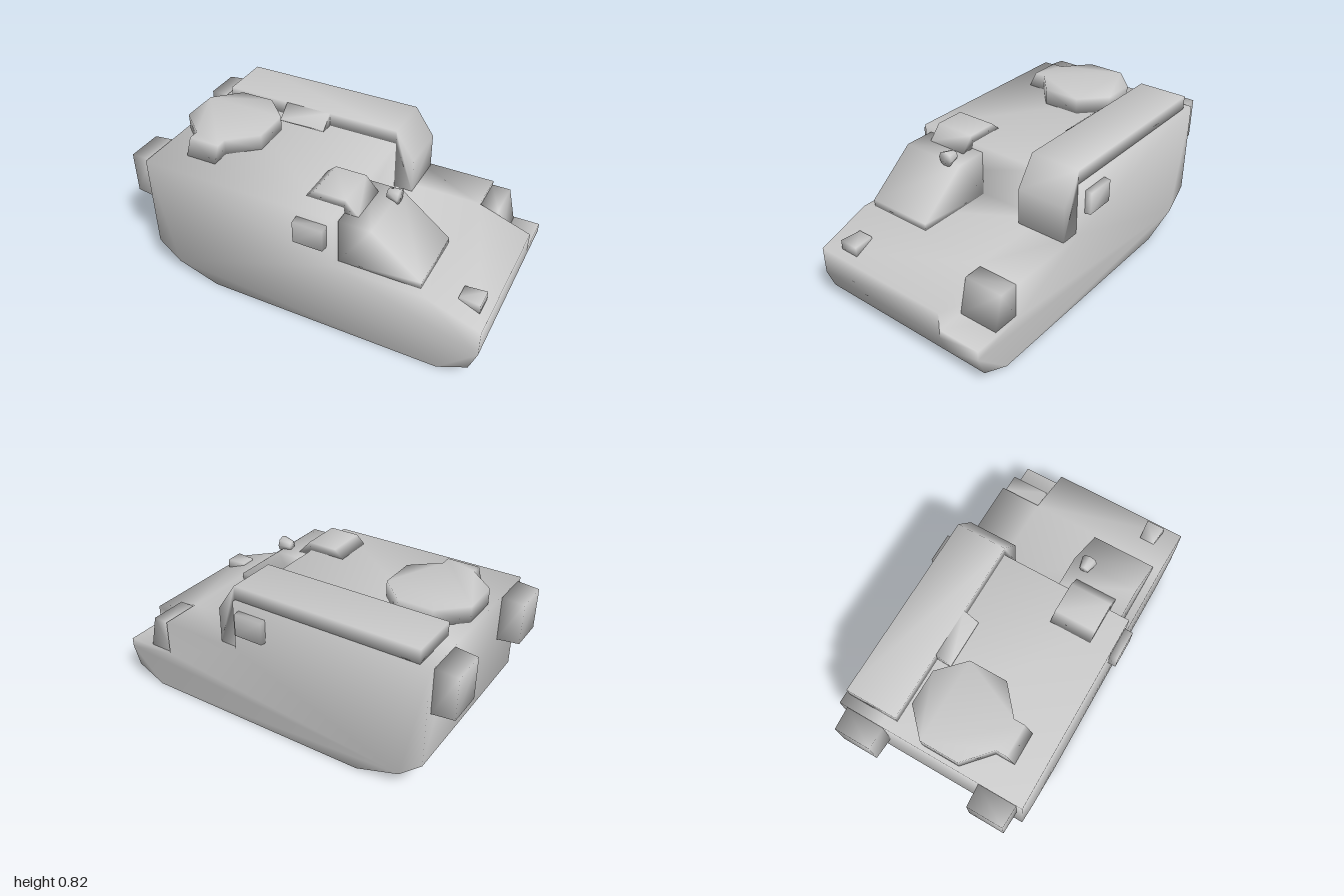
import * as THREE from 'three';
import { mergeVertices, mergeGeometries } from 'three/addons/utils/BufferGeometryUtils.js';

const material = new THREE.MeshStandardMaterial({ color: 0xcccccc, side: THREE.DoubleSide });

// Weld corners so that normals run smoothly over the edges
function smooth(geometry) {
  const g = geometry.clone();
  g.deleteAttribute('normal');
  g.deleteAttribute('uv');
  const welded = mergeVertices(g, 1e-4);
  welded.computeVertexNormals();
  return welded;
}

// Move every vertex by a rule
function bend(geometry, rule) {
  const p = geometry.attributes.position;
  const v = new THREE.Vector3();
  for (let i = 0; i < p.count; i++) {
    v.fromBufferAttribute(p, i);
    rule(v);
    p.setXYZ(i, v.x, v.y, v.z);
  }
  return geometry;
}

const outline = (points) => new THREE.Shape(points.map(([x, y]) => new THREE.Vector2(x, y)));

// Side profile (x, y) swept from z0 to z1
function prism(points, z0, z1) {
  return new THREE.ExtrudeGeometry(outline(points), { depth: z1 - z0, bevelEnabled: false }).translate(0, 0, z0);
}

// Box given by its limits
function block(x0, x1, y0, y1, z0, z1) {
  return new THREE.BoxGeometry(x1 - x0, y1 - y0, z1 - z0)
    .translate((x0 + x1) / 2, (y0 + y1) / 2, (z0 + z1) / 2);
}

// Remove triangles whose three corners all pass the test
function cut(geometry, test) {
  const g = geometry.index ? geometry.toNonIndexed() : geometry;
  const p = g.attributes.position;
  const kept = [];
  const v = new THREE.Vector3();
  for (let i = 0; i < p.count; i += 3) {
    const corners = [0, 1, 2].map((k) => v.fromBufferAttribute(p, i + k).clone());
    if (!corners.every(test)) corners.forEach((c) => kept.push(c));
  }
  return new THREE.BufferGeometry().setFromPoints(kept);
}

export function createModel() {
  const model = new THREE.Group();
  const add = (name, geometry) => {
    const mesh = new THREE.Mesh(smooth(geometry), material);
    mesh.name = name;
    model.add(mesh);
    return mesh;
  };

  // Hull: open underneath, with a notch in one front corner
  const notchZ = -0.29;
  const belly = [[-0.88, 0.73], [-0.88, 0.19], [-0.76, 0.08], [-0.52, 0], [0.8, 0], [0.96, 0.08], [1, 0.19]];
  const deck = [[0.705, 0.445], [0.22, 0.445], [0.22, 0.73]];
  const openFace = (v) => v.y < 0.001 || Math.abs(v.z - notchZ) < 0.001;
  const mainPart = cut(prism([...belly, [1, 0.34], ...deck], notchZ, 0.515), openFace);
  const notchedPart = cut(prism([...belly, [1, 0.24], [0.705, 0.24], ...deck], -0.525, notchZ), openFace);
  const notchWall = cut(
    new THREE.ShapeGeometry(outline([[0.705, 0.24], [1, 0.24], [1, 0.34], [0.705, 0.445]]))
      .rotateY(Math.PI).scale(-1, 1, 1).translate(0, 0, notchZ), () => false);
  // Turn the wall towards the notch
  const wallPos = notchWall.attributes.position;
  const corner = new THREE.Vector3();
  const wallPoints = [];
  for (let i = 0; i < wallPos.count; i += 3) {
    const t = [0, 1, 2].map((k) => corner.fromBufferAttribute(wallPos, i + k).clone());
    const facing = t[1].clone().sub(t[0]).cross(t[2].clone().sub(t[0])).z;
    wallPoints.push(...(facing > 0 ? [t[0], t[2], t[1]] : t));
  }
  add('hull', mergeGeometries([mainPart, notchedPart, new THREE.BufferGeometry().setFromPoints(wallPoints)]));

  // Driver's compartment and the hatch behind it
  add('driverCompartment', prism([[0.225, 0.445], [0.67, 0.445], [0.67, 0.485], [0.4, 0.7], [0.225, 0.7]], 0.1, 0.47));
  add('driverHatch', prism([[0.01, 0.732], [0.22, 0.732], [0.225, 0.7], [0.3, 0.7], [0.23, 0.778], [0.06, 0.778]], 0.168, 0.4));

  // Small lamp on the sloping compartment
  add('compartmentLamp', new THREE.CylinderGeometry(0.043, 0.026, 0.065, 8)
    .rotateZ(-Math.PI / 2).translate(0.39, 0.72, 0.178));

  // Long housing along the roof, dropping down to the front deck
  add('sideHousing', prism([[-0.82, 0.732], [0.222, 0.732], [0.222, 0.447], [0.33, 0.447], [0.33, 0.65], [0.22, 0.81], [-0.82, 0.81]], -0.505, -0.224));
  add('housingRamp', bend(block(-0.45, -0.18, 0.732, 0.81, -0.226, -0.145), (v) => {
    if (v.z > -0.2 && v.y > 0.8) v.y = 0.742;
  }));

  // Eight-sided cupola with a short neck
  const plan = [[-0.72, -0.19], [-0.53, -0.19], [-0.395, -0.06], [-0.395, 0.15], [-0.54, 0.275],
    [-0.54, 0.378], [-0.715, 0.378], [-0.715, 0.275], [-0.855, 0.15], [-0.855, -0.06]];
  const cupola = new THREE.ExtrudeGeometry(outline(plan.map(([x, z]) => [x, -z])), { depth: 0.088, bevelEnabled: false })
    .rotateX(-Math.PI / 2).translate(0, 0.732, 0);
  add('cupola', bend(cupola, (v) => {
    if (v.z > 0.37 && v.y > 0.8) v.z = 0.335;
  }));

  // Stowage boxes, mirrored on the rear and on both flanks
  for (const side of [1, -1]) {
    add('rearBox', bend(block(-1, -0.88, 0.47, 0.72, -0.105, 0.105), (v) => {
      if (v.x < -0.95) {
        v.y += v.y > 0.6 ? -0.01 : 0.01;
        v.z *= 0.95;
      }
      v.z += side * 0.377;
    }));
    const z = side * 0.535;
    add('flankBox', bend(block(0.02, 0.185, 0.555, 0.69, z - 0.026, z + 0.026), (v) => {
      if (Math.abs(v.z) > 0.55) v.y += v.y > 0.6 ? -0.006 : 0.006;
    }));
  }

  // Box standing in the hull notch and lamp on the opposite corner
  add('notchBox', prism([[0.707, 0.242], [0.855, 0.242], [0.81, 0.432], [0.707, 0.432]], -0.508, -0.292));
  add('headlamp', bend(block(0.84, 0.955, 0.35, 0.41, 0.305, 0.413), (v) => {
    if (v.x < 0.9) v.z = 0.36 + (v.z - 0.36) * 0.8;
  }));

  return model;
}
